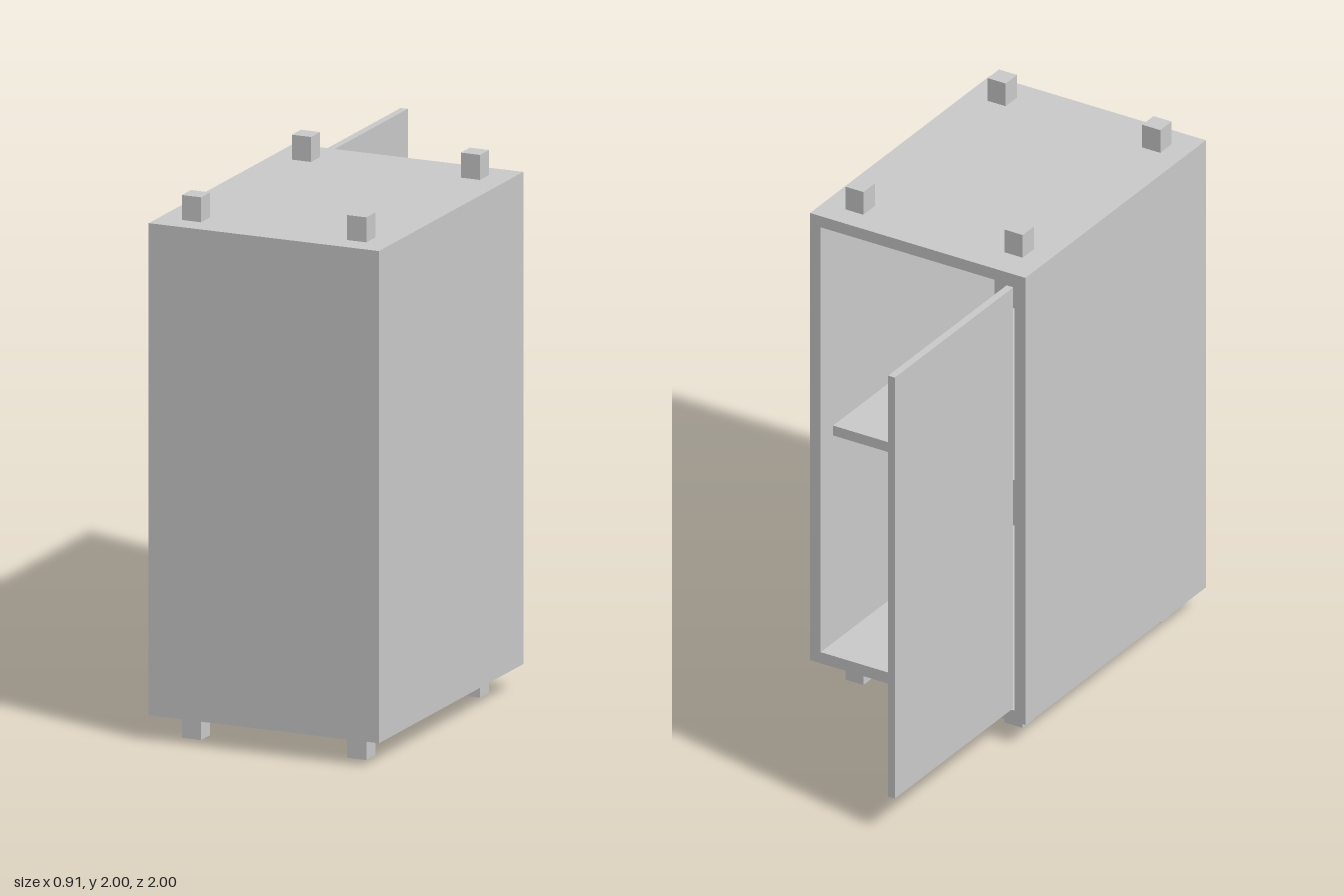
import * as THREE from 'three';

const material = new THREE.MeshStandardMaterial({ color: 0xcccccc });

// Box given by its min and max corners
function block(name, x0, x1, y0, y1, z0, z1) {
  const mesh = new THREE.Mesh(new THREE.BoxGeometry(x1 - x0, y1 - y0, z1 - z0), material);
  mesh.position.set((x0 + x1) / 2, (y0 + y1) / 2, (z0 + z1) / 2);
  mesh.name = name;
  return mesh;
}

export function createModel() {
  const model = new THREE.Group();
  model.name = 'cabinet';

  const X = 0.453, Y0 = 0.094, Y1 = 1.908, Z0 = -0.208, Z1 = 1, T = 0.045;
  const xi = X - T, yi0 = Y0 + T, yi1 = Y1 - T, zi = Z1 - T;

  // Carcass, open at the rear
  model.add(
    block('leftWall', xi, X, Y0, Y1, Z0, Z1),
    block('rightWall', -X, -xi, Y0, Y1, Z0, Z1),
    block('topPanel', -xi, xi, yi1, Y1, Z0, Z1),
    block('bottomPanel', -xi, xi, Y0, yi0, Z0, Z1),
    block('frontPanel', -xi, xi, yi0, yi1, zi, Z1),
  );

  // Shelf set back from the opening
  model.add(block('shelf', -xi, xi, 0.98, 1.02, -0.125, zi));

  // Door swung fully open
  model.add(block('door', -0.402, -0.374, 0.147, 1.855, -1, Z0));

  // Square feet below, matching stacking posts above
  const h = 0.038;
  for (const [x, z] of [[-0.327, -0.048], [0.323, -0.08], [-0.327, 0.872], [0.323, 0.872]]) {
    model.add(block('foot', x - h, x + h, 0, Y0, z - h, z + h));
    model.add(block('topPost', x - h, x + h, Y1, 2, z - h, z + h));
  }
  return model;
}
